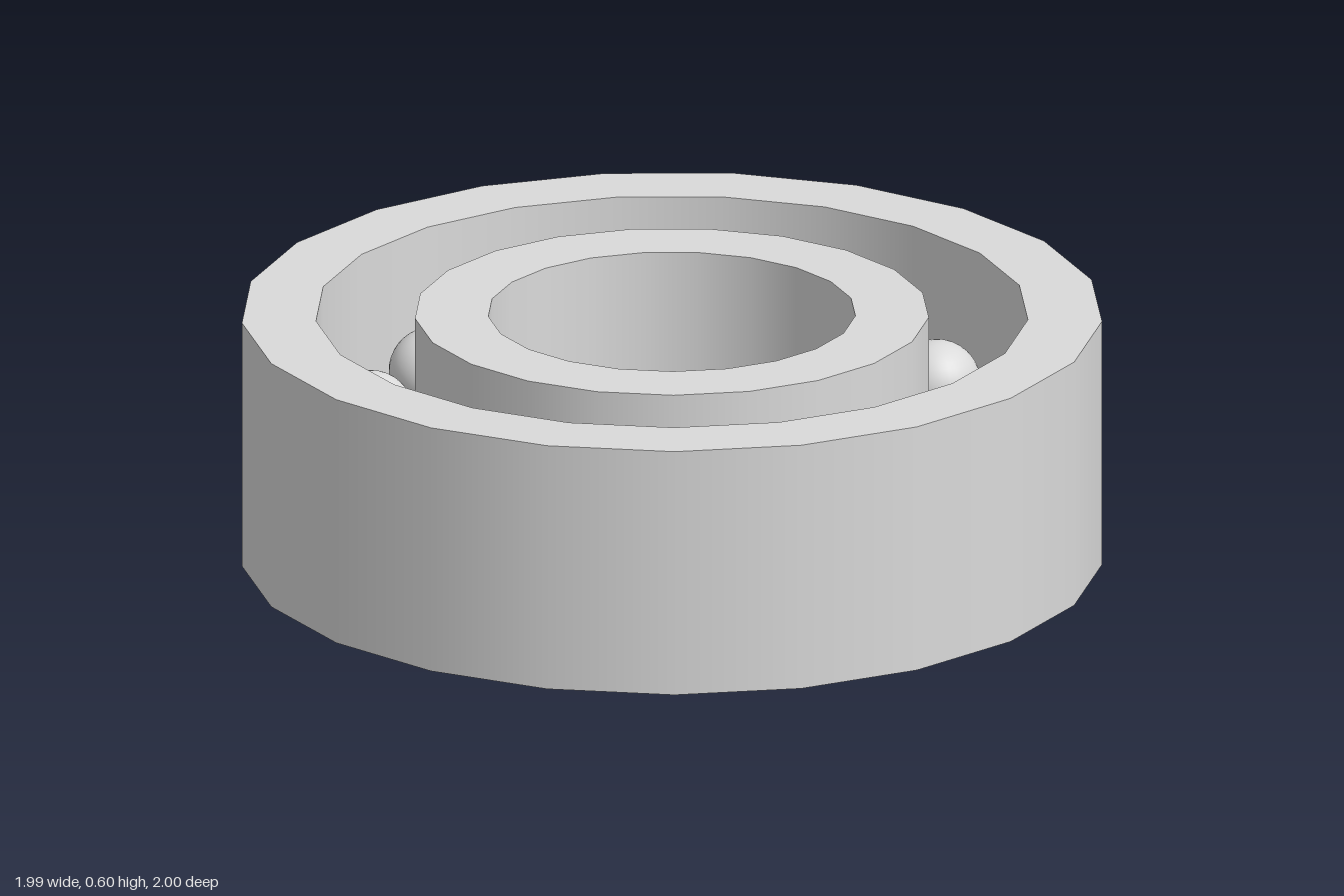
import * as THREE from 'three';
import { mergeGeometries } from 'three/addons/utils/BufferGeometryUtils.js';

const SIDES = 21;
const HEIGHT = 0.598;
const BALLS = 13;
const ORBIT = 0.714; // radius of the circle of balls

// Ring with a rectangular section: each wall is its own lathe so the rims stay sharp
function raceGeometry(inner, outer) {
  const corners = [[outer, 0], [outer, HEIGHT], [inner, HEIGHT], [inner, 0]]
    .map(([r, y]) => new THREE.Vector2(r, y));
  const walls = corners.map((p, i) =>
    new THREE.LatheGeometry([p, corners[(i + 1) % 4]], SIDES, Math.PI / 2));
  return mergeGeometries(walls);
}

export function createModel() {
  const model = new THREE.Group();
  model.name = 'ballBearing';
  const steel = new THREE.MeshStandardMaterial({ color: 0xdadada });
  steel.name = 'steel';

  // An odd number of sides sits slightly off centre
  const offsetX = -0.0055;

  // Outer and inner races
  const races = [['outerRace', 0.83, 1.0028], ['innerRace', 0.428, 0.599]];
  for (const [name, inner, outer] of races) {
    const race = new THREE.Mesh(raceGeometry(inner, outer), steel);
    race.name = name;
    race.position.x = offsetX;
    model.add(race);
  }

  // Balls between the races
  const balls = new THREE.Group();
  balls.name = 'balls';
  balls.position.set(offsetX, HEIGHT / 2, 0);
  const ballGeometry = new THREE.SphereGeometry(0.1025, 32, 20);
  for (let i = 0; i < BALLS; i++) {
    const angle = (i / BALLS) * Math.PI * 2;
    const ball = new THREE.Mesh(ballGeometry, steel);
    ball.name = `ball${i + 1}`;
    ball.position.set(ORBIT * Math.cos(angle), 0, ORBIT * Math.sin(angle));
    balls.add(ball);
  }
  model.add(balls);
  return model;
}
